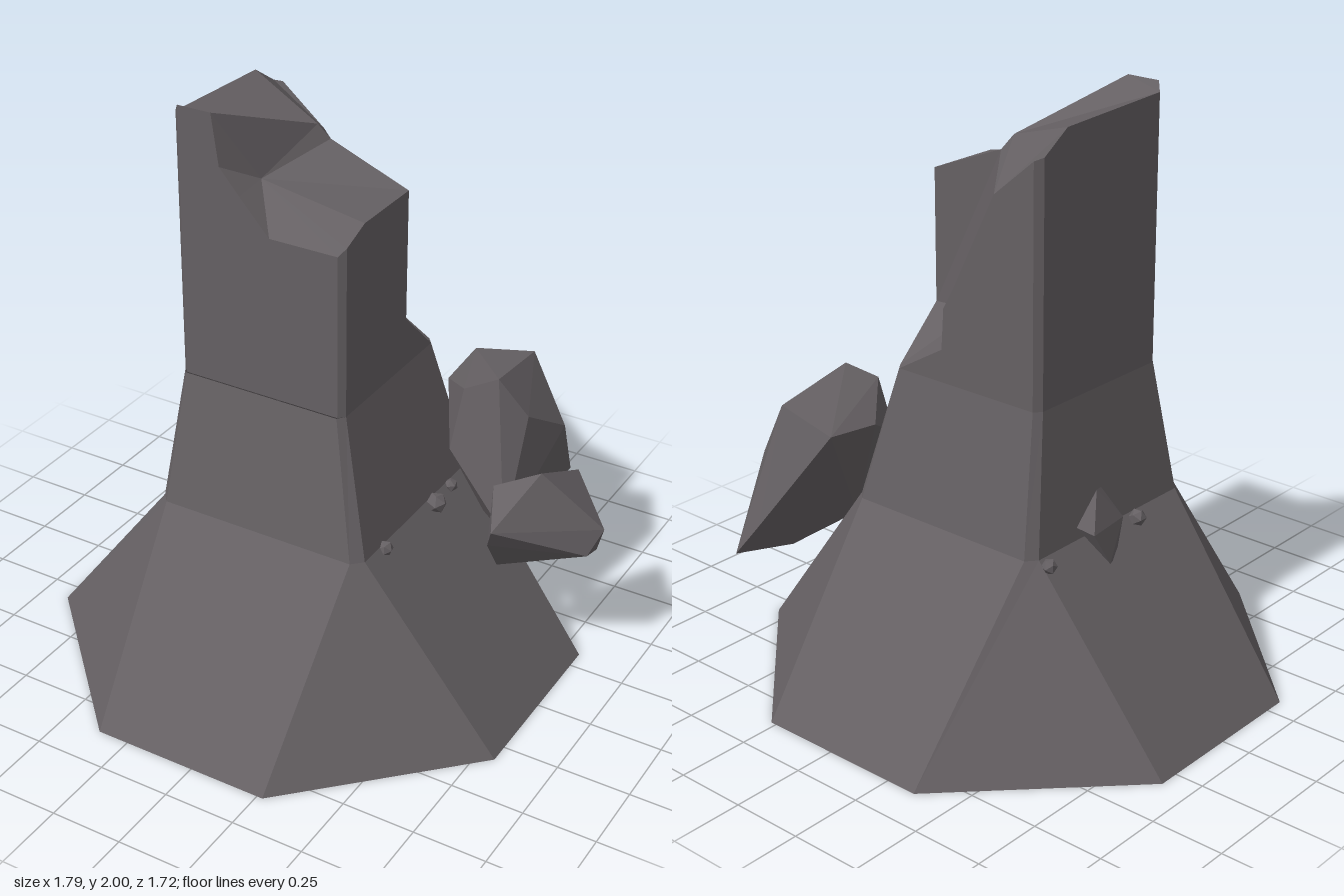
import * as THREE from 'three';
import { ConvexGeometry } from 'three/addons/geometries/ConvexGeometry.js';

const stone = new THREE.MeshStandardMaterial({ color: 0x656063, flatShading: true, side: THREE.DoubleSide });
stone.name = 'dark stone';

function add(group, geometry, name) {
  const mesh = new THREE.Mesh(geometry, stone);
  mesh.name = name;
  group.add(mesh);
  return mesh;
}

// Flat-shaded geometry from a list of triangles, each three [x, y, z] points
function fromTriangles(tris) {
  const g = new THREE.BufferGeometry();
  g.setAttribute('position', new THREE.Float32BufferAttribute(tris.flat(2), 3));
  g.computeVertexNormals();
  return g;
}

// Eight-cornered ring: outer bounds x0..x1 and +-z, flat fronts a0..a1, flat sides +-b
const ring = (y, x0, x1, z, a0, a1, b) => [
  [a0, y, z], [a1, y, z], [x1, y, b], [x1, y, -b],
  [a1, y, -z], [a0, y, -z], [x0, y, -b], [x0, y, b],
];

// Quads joining a lower loop to an upper loop
function band(low, high) {
  const tris = [];
  low.forEach((p, i) => {
    const j = (i + 1) % low.length;
    tris.push([p, low[j], high[j]], [p, high[j], high[i]]);
  });
  return tris;
}

const NECK = 1.08;

// Broken rim of the shaft, counterclockwise from the front left
const R = {
  A: [-0.355, 2.0, 0.295], B: [-0.235, 2.0, 0.295], C: [-0.21, 1.83, 0.295], D: [-0.14, 1.75, 0.295],
  E: [-0.035, 1.635, 0.295], F: [0.205, 1.635, 0.295], G: [0.225, 1.66, 0.275], H: [0.225, 1.7, 0.17],
  I: [0.225, 1.7, -0.1], J: [0.225, 1.25, -0.1], K: [0.225, NECK, -0.275], L: [0.205, NECK, -0.3],
  M: [0.02, 1.19, -0.3], N: [0.01, 1.33, -0.3], O: [-0.03, 1.4, -0.3], Q: [-0.2, 1.74, -0.3],
  P: [-0.355, 1.87, -0.3], S: [-0.375, 1.88, -0.275], T: [-0.375, 1.95, -0.17], U: [-0.375, 1.97, 0.275],
};
// Points inside the break
const inner = {
  a: [-0.14, 1.76, 0.17], b: [-0.055, 1.81, -0.1], c: [-0.09, 1.86, -0.08],
  d: [-0.03, 1.43, -0.16], e: [0.03, 1.27, -0.12],
};
// Facets of the break, named by their corners
const facets = 'QPS QST QTc cTU UAB UBc BCa Bac CDa abc DEa EFa FGa GHa HIa Iba ' +
  'bIJ bJe eJK eKL eLM eMN eNd dNO dOQ bdQ cbQ bed';

export function createModel() {
  const model = new THREE.Group();
  model.name = 'brokenPillar';

  // Flared foot and tapering middle, open underneath
  const foot = ring(0, -0.9, 0.81, 0.86, -0.36, 0.27, 0.32);
  const waist = ring(0.62, -0.425, 0.34, 0.385, -0.395, 0.305, 0.35);
  const neck = ring(NECK, -0.375, 0.225, 0.3, -0.355, 0.205, 0.275);
  add(model, fromTriangles(band(foot, waist)), 'flaredBase');
  add(model, fromTriangles(band(waist, neck)), 'taperedMiddle');

  // Upright shaft up to the broken rim
  const rim = Object.values(R);
  add(model, fromTriangles(band(rim.map(([x, , z]) => [x, NECK, z]), rim)), 'shaft');

  // Jagged break on top and down the back corner
  const all = { ...R, ...inner };
  add(model, fromTriangles(facets.split(' ').map((f) => [...f].map((k) => all[k]))), 'brokenTop');

  // Fallen chunks leaning on the back corner
  const chunk = (pts, name) =>
    add(model, new ConvexGeometry(pts.map((p) => new THREE.Vector3(...p))), name);
  chunk([
    [0.24, 0.92, -0.58], [0.24, 0.9, -0.38], [0.46, 0.97, -0.58], [0.48, 1.02, -0.27],
    [0.38, 0.98, -0.22], [0.36, 0.77, -0.17], [0.57, 0.88, -0.32], [0.61, 0.75, -0.53],
    [0.48, 0.57, -0.69], [0.56, 0.46, -0.72], [0.5, 0.44, -0.52], [0.44, 0.49, -0.28],
    [0.58, 0.52, -0.15],
  ], 'largeChunk');
  chunk([
    [0.7, 0.79, -0.16], [0.56, 0.73, -0.1], [0.62, 0.64, 0.03], [0.59, 0.56, -0.01],
    [0.58, 0.42, -0.11], [0.86, 0.48, -0.28], [0.89, 0.58, -0.26], [0.86, 0.5, -0.2],
    [0.73, 0.69, -0.39], [0.58, 0.5, -0.25],
  ], 'smallChunk');

  // Flake on the side
  chunk([
    [-0.45, 0.78, -0.1], [-0.42, 0.76, -0.04], [-0.5, 0.66, -0.17], [-0.51, 0.54, -0.1],
    [-0.47, 0.52, -0.02], [-0.43, 0.6, 0.03], [-0.42, 0.66, -0.16], [-0.48, 0.66, 0.0],
  ], 'sideFlake');

  // Pebbles resting where the base begins to flare
  [
    [-0.455, 0.61, 0.11, 0.03], [-0.45, 0.6, -0.33, 0.027],
    [0.365, 0.61, -0.08, 0.036], [0.35, 0.61, 0.235, 0.027], [0.355, 0.61, -0.2, 0.024],
  ].forEach(([x, y, z, r], i) => {
    const pebble = add(model, new THREE.IcosahedronGeometry(r, 0), 'pebble');
    pebble.position.set(x, y, z);
    pebble.rotation.set(i, i * 2, 0);
  });

  return model;
}
